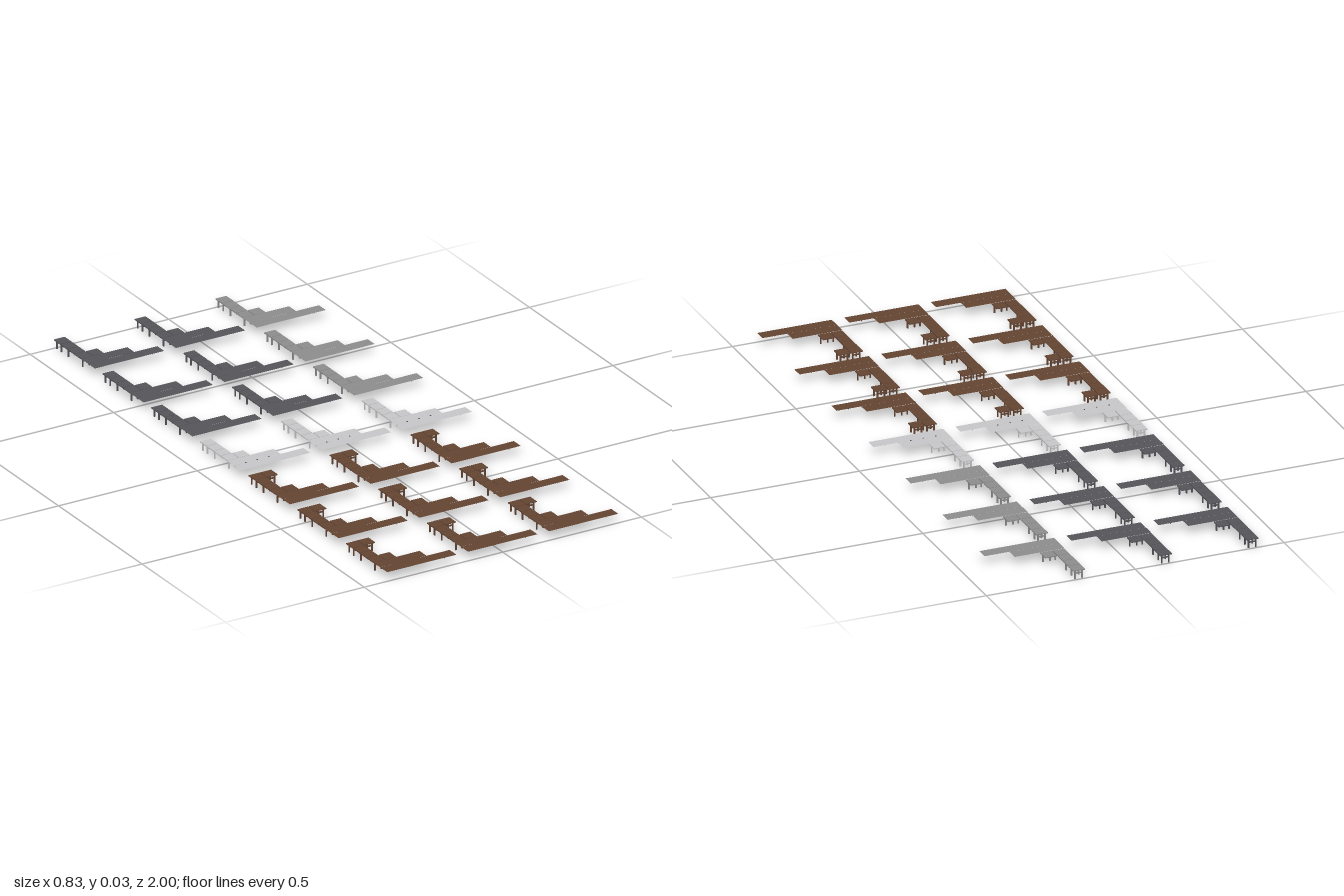
import * as THREE from 'three';

const T = 2 / 48;        // one deck tile
const TOP = 0.031;       // deck height
const THICK = 0.003;     // depth of the deck edge
const GAP = 0.0012;      // joint around a loose tile

function makeMaterial(name, color) {
  const m = new THREE.MeshStandardMaterial({ color, side: THREE.DoubleSide });
  m.name = name;
  return m;
}

function add(parent, name, geometry, material, x, y, z) {
  const mesh = new THREE.Mesh(geometry, material);
  mesh.name = name;
  mesh.position.set(x, y, z);
  parent.add(mesh);
  return mesh;
}

// Flat run of decking without edges, in tile units from the set's back corner
function deckRun(set, material, col, row, length) {
  const plane = new THREE.PlaneGeometry(length * T, T - 0.0005).rotateX(-Math.PI / 2);
  add(set, 'deckRun', plane, material, (col + length / 2) * T, TOP, (row + 0.5) * T);
}

// Loose square tile with edges all round
function deckTile(set, material, col, row) {
  const size = T - 2 * GAP;
  add(set, 'deckTile', new THREE.BoxGeometry(size, THICK, size), material,
    (col + 0.5) * T, TOP - THICK / 2, (row + 0.5) * T);
}

// H-shaped trestle: two posts and a cross rail
function trestle(set, material, col, z) {
  const post = 0.0042, height = TOP - THICK;
  const group = new THREE.Group();
  group.name = 'trestle';
  group.position.set((col + 0.5) * T, 0, z);
  for (const side of [-1, 1]) {
    add(group, 'post', new THREE.BoxGeometry(post, height, post), material, side * 0.0118, height / 2, 0);
  }
  add(group, 'crossRail', new THREE.BoxGeometry(0.0236, 0.0045, 0.003), material, 0, 0.0195, 0);
  set.add(group);
}

function dockSet(material, twoEndTiles, boltMaterial) {
  const set = new THREE.Group();
  set.name = 'dockSet';

  // Long front runs
  deckRun(set, material, 0, 5, 6);
  deckRun(set, material, 0, 4, 4);

  // Edge boards under the runs
  add(set, 'frontEdge', new THREE.PlaneGeometry(4 * T, THICK), material, 2 * T, TOP - THICK / 2, 5 * T);
  const endEdge = add(set, 'endEdge', new THREE.PlaneGeometry(T, THICK), material, 5 * T, TOP - THICK / 2, 5.5 * T);
  endEdge.rotation.y = Math.PI / 2;

  // Side walkway of single tiles and the step beside it
  for (let row = 0; row < 4; row++) deckTile(set, material, 0, row);
  deckTile(set, material, 1, 3);

  // Supports
  trestle(set, material, 0, 0.007);
  trestle(set, material, 0, T - 0.007);
  trestle(set, material, 0, 2 * T - 0.006);
  trestle(set, material, 0, 4 * T - 0.005);
  trestle(set, material, 1, 4 * T - 0.005);

  if (twoEndTiles) {
    deckTile(set, material, 1, 0);
    trestle(set, material, 1, 0.007);
    trestle(set, material, 1, T - 0.007);
  }

  // Small bolts at the joints of the front runs
  if (boltMaterial) {
    for (let i = 1; i < 4; i++) {
      add(set, 'bolt', new THREE.CylinderGeometry(0.0025, 0.0025, 0.001, 8), boltMaterial,
        i * T, TOP + 0.0005, 5 * T);
    }
  }
  return set;
}

export function createModel() {
  const model = new THREE.Group();
  model.name = 'dockKit';

  const wood = makeMaterial('brownWood', 0x654533);
  const dark = makeMaterial('darkStone', 0x55555a);
  const mid = makeMaterial('greyStone', 0x8e8e8e);
  const light = makeMaterial('lightMetal', 0xc9c9cb);

  // Seven rows of three sets, one tile apart
  for (let row = 0; row < 7; row++) {
    for (let col = 0; col < 3; col++) {
      const material = row > 3 ? wood : row === 3 ? light : col === 2 ? mid : dark;
      const set = dockSet(material, row > 3, row === 3 ? dark : null);
      set.position.set((col * 7 - 10) * T, 0, (row * 7 - 24) * T);
      model.add(set);
    }
  }
  return model;
}
